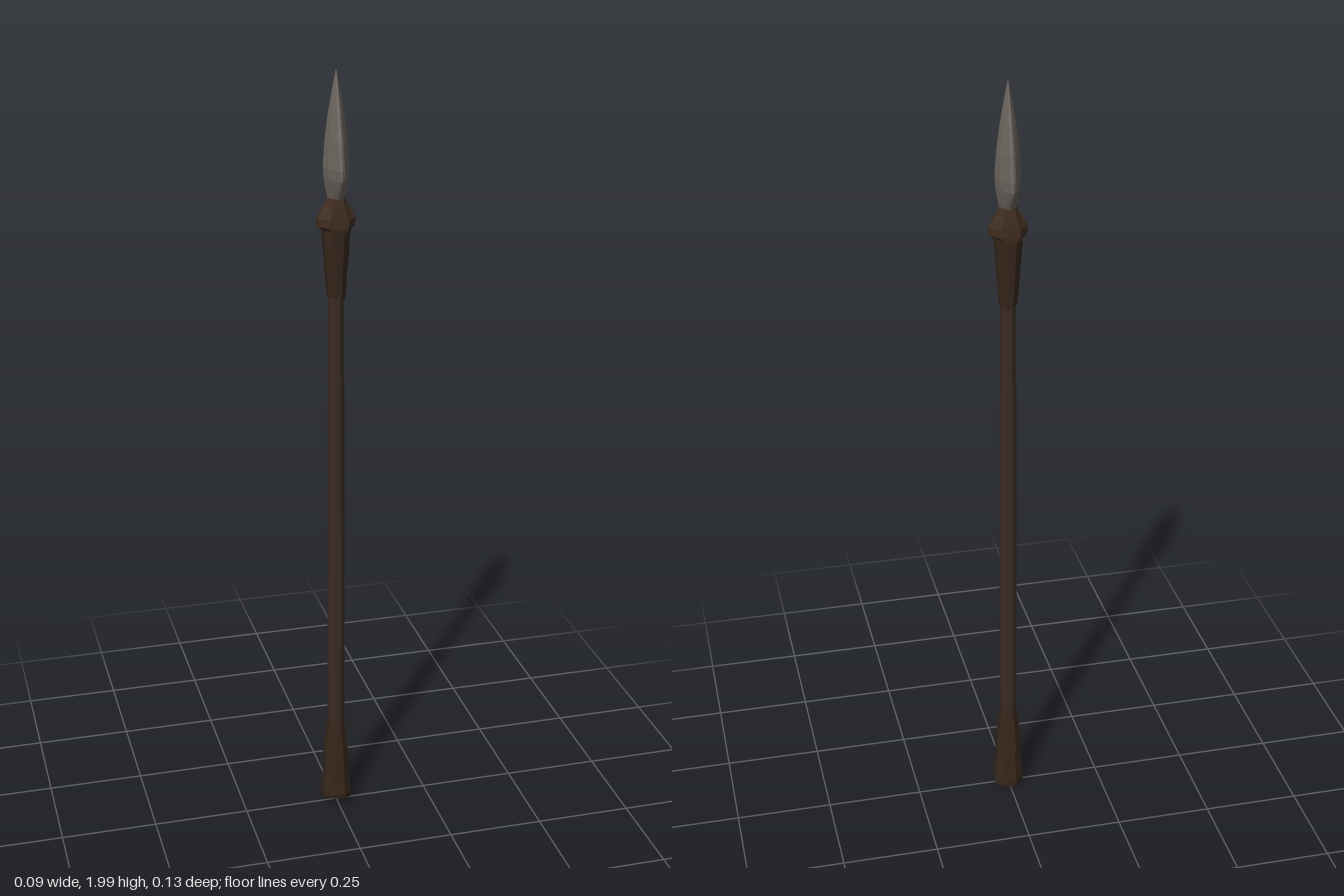
import * as THREE from 'three';

const mat = (name, color, flatShading = true) => {
  const m = new THREE.MeshStandardMaterial({ color, flatShading });
  m.name = name;
  return m;
};

// Unit outlines as [x, z], counter-clockwise seen from above
const ngon = (n) => Array.from({ length: n }, (_, i) => {
  const a = ((i + 0.5) / n) * Math.PI * 2;
  return [Math.cos(a), -Math.sin(a)];
});
const OCTAGON = ngon(8);
const BLADE = [[1, 0], [0.78, -0.38], [0.2, -0.93], [0, -1], [-0.2, -0.93], [-0.78, -0.38],
  [-1, 0], [-0.78, 0.38], [-0.2, 0.93], [0, 1], [0.2, 0.93], [0.78, 0.38]];
const KNOT = [[1, 0.2], [1, -0.2], [0.5, -1], [-0.5, -1], [-1, -0.2], [-1, 0.2], [-0.5, 1], [0.5, 1]];

// Skin a stack of rings [y, halfX, halfZ, tiltX, tiltZ] (bottom to top) and cap both ends
function loft(name, section, rings, material) {
  const n = section.length, pos = [], idx = [];
  for (const [y, rx, rz, tx = 0, tz = 0] of rings) {
    for (const [x, z] of section) pos.push(x * rx, y + tx * x + tz * z, z * rz);
  }
  for (let r = 0; r < rings.length - 1; r++) {
    for (let j = 0; j < n; j++) {
      const a = r * n + j, b = r * n + (j + 1) % n;
      idx.push(a, b, b + n, a, b + n, a + n);
    }
  }
  const top = (rings.length - 1) * n;
  for (let j = 1; j < n - 1; j++) idx.push(0, j + 1, j, top, top + j, top + j + 1);
  const geo = new THREE.BufferGeometry();
  geo.setAttribute('position', new THREE.Float32BufferAttribute(pos, 3));
  geo.setIndex(idx);
  const flat = geo.toNonIndexed();
  flat.computeVertexNormals();
  const mesh = new THREE.Mesh(flat, material);
  mesh.name = name;
  return mesh;
}

export function createModel() {
  const stone = mat('stone grey', 0x6c655e);
  const wood = mat('dark wood', 0x3b2a23);
  const leather = mat('dark leather', 0x35261b);
  const hide = mat('brown hide', 0x412e20);
  const spear = new THREE.Group();
  spear.name = 'spear';

  // Long shaft, slightly thicker toward the butt
  spear.add(loft('shaft', OCTAGON, [
    [0.05, 0.022, 0.022], [0.6, 0.023, 0.023], [1.22, 0.021, 0.021], [1.24, 0.019, 0.02], [1.64, 0.018, 0.018],
  ], wood));

  // Leaf-shaped blade, broad along z with a central ridge
  spear.add(loft('blade', BLADE, [
    [1.63, 0.02, 0.026], [1.69, 0.021, 0.028], [1.72, 0.027, 0.048], [1.745, 0.031, 0.062],
    [1.77, 0.033, 0.063], [1.83, 0.029, 0.053], [1.9, 0.02, 0.034], [1.96, 0.009, 0.014], [2, 0.001, 0.001],
  ], stone));

  // Faceted knot holding the blade
  spear.add(loft('knot', KNOT, [
    [1.605, 0.026, 0.031], [1.625, 0.046, 0.033], [1.645, 0.047, 0.033], [1.675, 0.03, 0.031], [1.695, 0.02, 0.029],
  ], hide));

  // Overlapping, slightly tilted wraps below the knot
  const head = new THREE.Group();
  head.name = 'headBinding';
  for (let i = 0; i < 4; i++) {
    const y = 1.44 + i * 0.042, r = 0.022 + i * 0.0032, s = i % 2 ? 1 : -1;
    head.add(loft('headWrap', OCTAGON, [
      [y, r, r, s * 0.004, 0.004], [y + 0.05, r + 0.0055, r + 0.0045, s * 0.004, 0.004],
    ], leather));
  }
  spear.add(head);

  // Flared butt sleeve over a slanted foot
  const butt = new THREE.Group();
  butt.name = 'butt';
  butt.add(
    loft('foot', OCTAGON, [
      [0.017, 0.04, 0.039, -0.004, 0.011], [0.03, 0.043, 0.041, -0.004, 0.009], [0.14, 0.03, 0.028],
    ], leather),
    loft('sleeve', OCTAGON, [
      [0.1, 0.037, 0.041, -0.012, -0.026], [0.16, 0.034, 0.035, -0.006, -0.012], [0.265, 0.021, 0.022],
    ], leather),
  );
  spear.add(butt);
  return spear;
}
